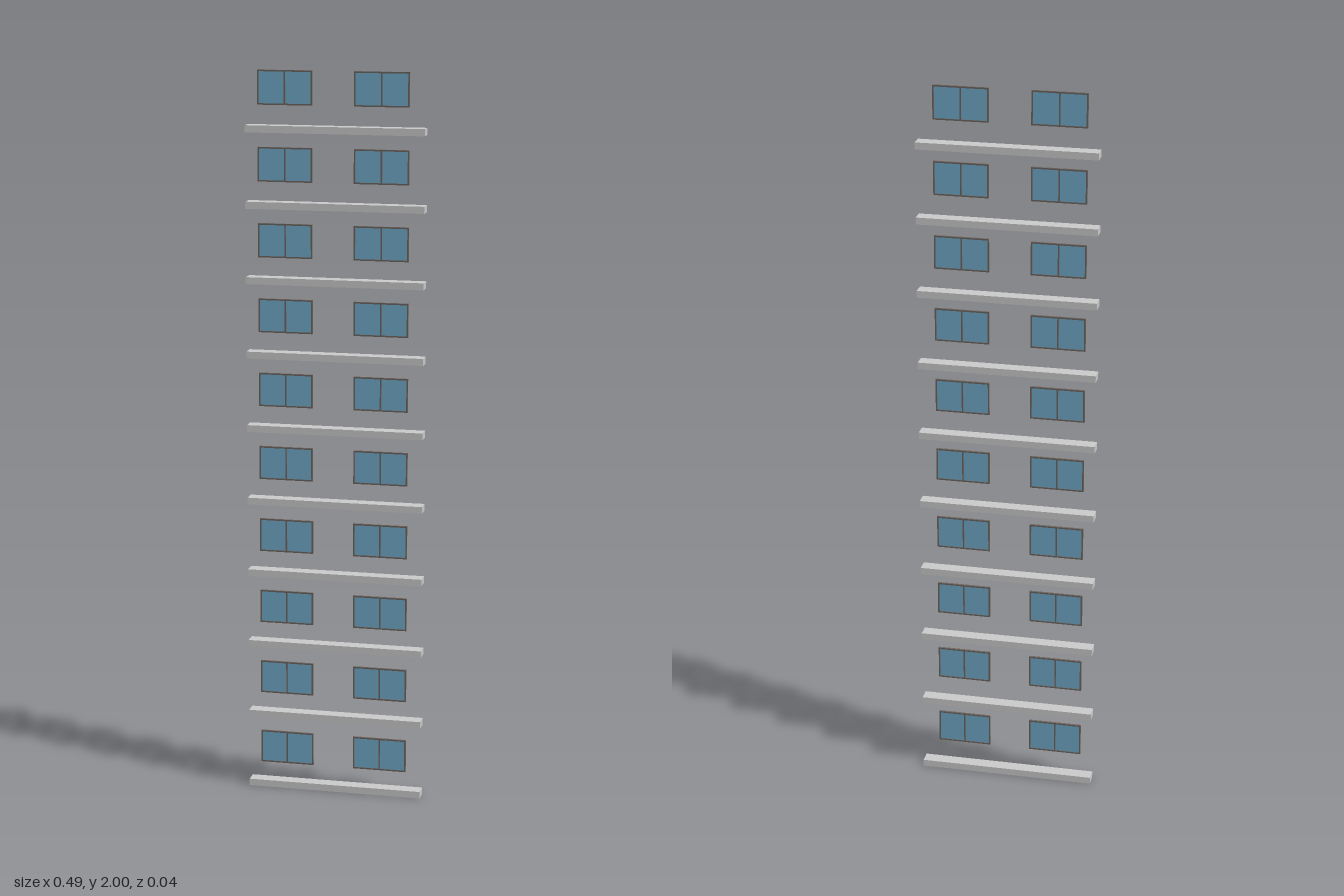
import * as THREE from 'three';

const FLOORS = 10;
const FLOOR_HEIGHT = 0.2038;

const slabMaterial = new THREE.MeshStandardMaterial({ color: 0xcccccc });
const frameMaterial = new THREE.MeshStandardMaterial({ color: 0x6e6560 });
const glassMaterial = new THREE.MeshStandardMaterial({ color: 0x72aacb });

function box(name, w, h, d, x, y, z, material) {
  const mesh = new THREE.Mesh(new THREE.BoxGeometry(w, h, d), material);
  mesh.name = name;
  mesh.position.set(x, y, z);
  return mesh;
}

// Two-pane window, centred on its own origin
function createWindow(name, w, h) {
  const group = new THREE.Group();
  group.name = name;
  const bar = 0.004, depth = 0.006;
  for (const s of [-1, 1]) {
    group.add(box('frameRail', w, bar, depth, 0, s * (h - bar) / 2, 0, frameMaterial));
    group.add(box('frameStile', bar, h - 2 * bar, depth, s * (w - bar) / 2, 0, 0, frameMaterial));
    // Glass pane between the stile and the mullion
    const paneWidth = (w - 3 * bar) / 2;
    group.add(box('glassPane', paneWidth, h - 2 * bar, 0.002,
      s * (paneWidth + bar) / 2, 0, 0, glassMaterial));
  }
  group.add(box('mullion', bar, h - 2 * bar, depth, 0, 0, 0, frameMaterial));
  return group;
}

export function createModel() {
  const model = new THREE.Group();
  model.name = 'facadeStrip';

  for (let i = 0; i < FLOORS; i++) {
    const floor = new THREE.Group();
    floor.name = 'floor' + (i + 1);
    floor.position.y = i * FLOOR_HEIGHT;

    // Ledge running under the windows
    floor.add(box('ledge', 0.487, 0.019, 0.037, 0, 0.0095, -0.0015, slabMaterial));

    // Pair of windows
    for (const [name, x] of [['rightWindow', -0.134], ['leftWindow', 0.128]]) {
      const win = createWindow(name, 0.149, 0.092);
      win.position.set(x, 0.12, 0.0145);
      floor.add(win);
    }
    model.add(floor);
  }

  // The whole strip is turned very slightly
  model.rotation.y = -0.005;
  return model;
}
